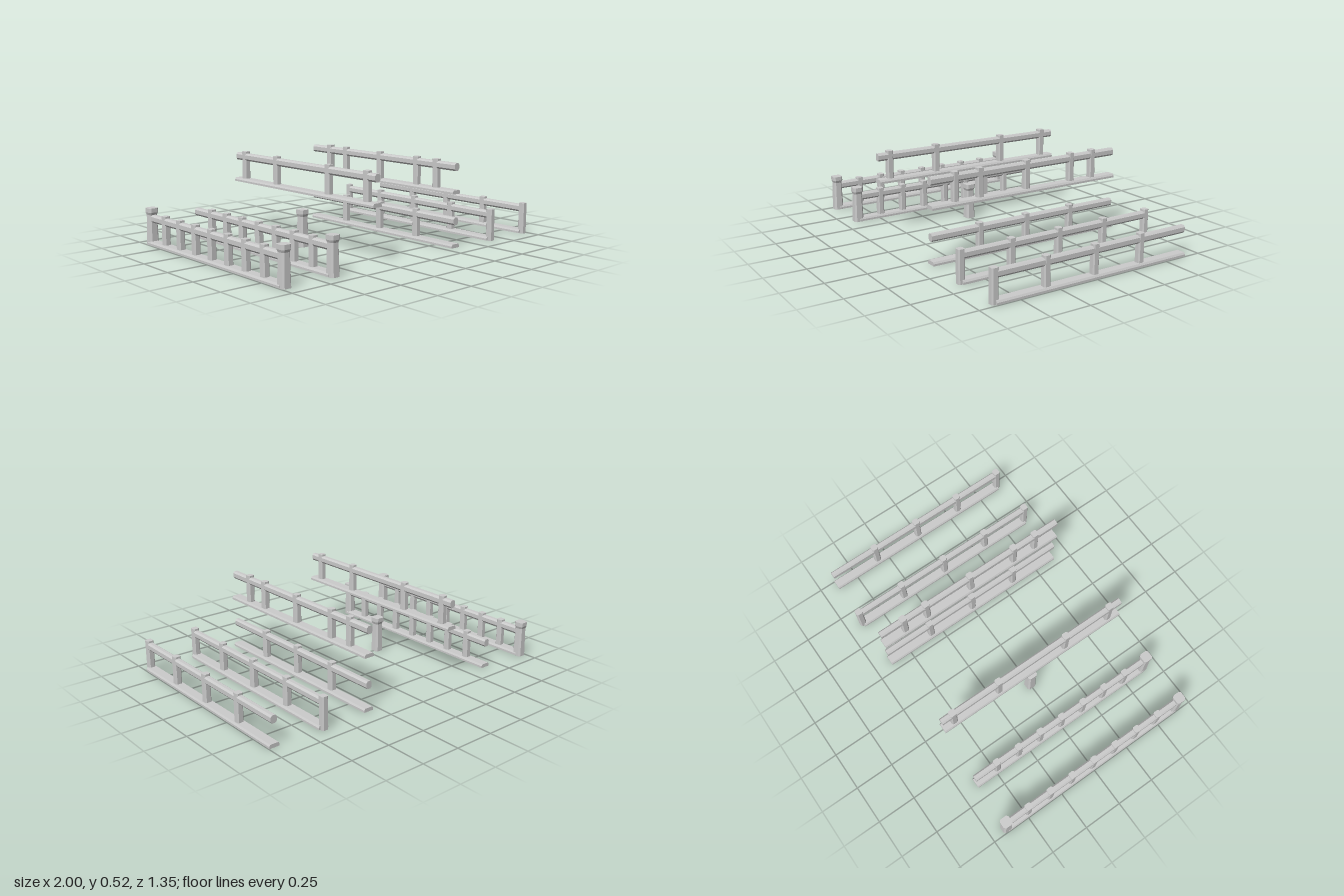
import * as THREE from 'three';

const material = new THREE.MeshStandardMaterial({ color: 0xcccccc, flatShading: true });
const STEP = 0.3225;      // spacing between fence sections
const HALF = 0.645;       // half the length of a section

// Corners of a square with cut corners
function octagon(r, cut) {
  const k = r - cut;
  return [[r, -k], [r, k], [k, r], [-k, r], [-r, k], [-r, -k], [-k, -r], [k, -r]];
}

// Upright octagonal post lofted through [height, half width] levels
function postGeometry(levels, cutRatio) {
  const pos = [], index = [], n = 8;
  for (const [y, r] of levels)
    for (const [x, z] of octagon(r, r * cutRatio)) pos.push(x, y, z);
  for (let l = 0; l < levels.length - 1; l++)
    for (let i = 0; i < n; i++) {
      const a = l * n + i, b = l * n + (i + 1) % n;
      index.push(a, a + n, b, b, a + n, b + n);
    }
  const top = (levels.length - 1) * n;
  for (let i = 1; i < n - 1; i++) {
    index.push(0, i, i + 1);
    index.push(top, top + i + 1, top + i);
  }
  const g = new THREE.BufferGeometry();
  g.setAttribute('position', new THREE.Float32BufferAttribute(pos, 3));
  g.setIndex(index);
  const flat = g.toNonIndexed();
  flat.computeVertexNormals();
  return flat;
}

// Beam along z with a given cross-section
function beamGeometry(points) {
  const shape = new THREE.Shape(points.map(([x, y]) => new THREE.Vector2(x, y)));
  return new THREE.ExtrudeGeometry(shape, { depth: HALF * 2, bevelEnabled: false })
    .translate(0, 0, -HALF);
}

function add(group, geometry, name, z = 0, y = 0) {
  const mesh = new THREE.Mesh(geometry, material);
  mesh.name = name;
  mesh.position.set(0, y, z);
  group.add(mesh);
}

export function createModel() {
  const model = new THREE.Group();
  model.name = 'railingSet';

  const baluster = postGeometry([[0, 0.0205], [0.1975, 0.0205]], 0.35);
  const newel = postGeometry([[0, 0.03], [0.185, 0.0255], [0.2, 0.031], [0.226, 0.031]], 0.35);
  const handrail = beamGeometry(octagon(0.0195, 0.009).map(([x, y]) => [x, y * 1.18]));
  const plate = beamGeometry([[-0.0325, 0.002], [0.0325, 0.002], [0.0325, 0.014],
    [0.026, 0.025], [-0.026, 0.025], [-0.0325, 0.014]]);

  const dense = [-3, -2, -1, 0, 1, 2, 3].map(i => i * STEP / 2);
  const sparse = [-STEP, 0, STEP];

  // Each section: column, level, baluster positions, newel positions
  const sections = [
    ['closeRailingTwoNewels', -3, 0, dense, [-HALF, HALF]],
    ['closeRailingOneNewel', -2, 0, dense, [HALF]],
    ['closeRailing', -1, 1, [-0.565, -0.2425, 0.2425, 0.565], []],
    ['wideRailingUpper', 1, 1, [-0.484, -STEP, 0, STEP, 0.484], []],
    ['wideRailing', 1, 0, sparse, []],
    ['wideRailingTwoEnds', 2, 0, [-HALF, ...sparse, HALF], []],
    ['wideRailingOneEnd', 3, 0, [...sparse, HALF], []],
  ];
  for (const [name, column, level, balusters, newels] of sections) {
    const group = new THREE.Group();
    group.name = name;
    group.position.set(column * STEP, level * STEP + level * 0.002, 0);
    add(group, plate, 'bottomPlate');
    add(group, handrail, 'handrail', 0, 0.163);
    balusters.forEach(z => add(group, baluster, 'baluster', z));
    newels.forEach(z => add(group, newel, 'newelPost', z));
    model.add(group);
  }

  // Free-standing newel post
  const single = new THREE.Group();
  single.name = 'singleNewel';
  single.position.x = -STEP;
  add(single, newel, 'newelPost');
  model.add(single);

  return model;
}
